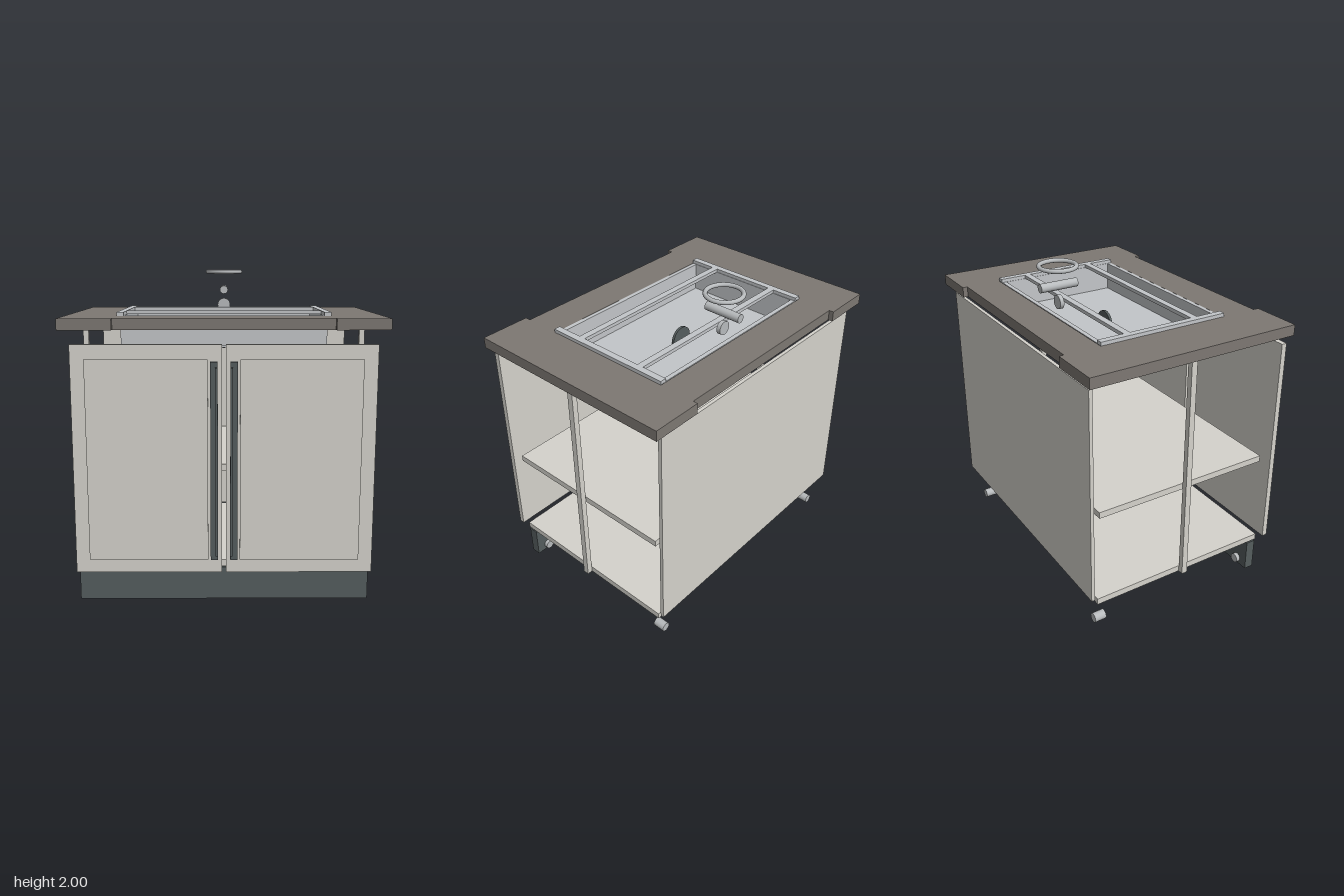
import * as THREE from 'three';

const mat = (color) => new THREE.MeshStandardMaterial({ color });

export function createModel() {
  const model = new THREE.Group();
  const wood = mat(0xd5d3cc), dark = mat(0x555d5e), stone = mat(0x7d7873);
  const steel = mat(0xc3c6c9), chrome = mat(0xb8bbbd);

  const add = (name, geometry, material, x, y, z) => {
    const mesh = new THREE.Mesh(geometry, material);
    mesh.name = name;
    mesh.position.set(x, y, z);
    model.add(mesh);
    return mesh;
  };
  // box given by its extents along each axis
  const box = (name, material, [x0, x1], [y0, y1], [z0, z1]) =>
    add(name, new THREE.BoxGeometry(x1 - x0, y1 - y0, z1 - z0), material,
      (x0 + x1) / 2, (y0 + y1) / 2, (z0 + z1) / 2);
  // cylinder lying along z
  const rod = (name, material, r, length, x, y, z, sides = 24) =>
    add(name, new THREE.CylinderGeometry(r, r, length, sides).rotateX(Math.PI / 2), material, x, y, z);
  // the same extents on the left (+1) or right (-1) side
  const side = (s, a, b) => (s > 0 ? [a, b] : [-b, -a]);

  // carcass
  box('bottomPanel', wood, [-0.885, 0.885], [0.215, 0.255], [-0.65, 0.555]);
  box('shelf', wood, [-0.88, 0.88], [0.813, 0.853], [-0.63, 0.533]);
  box('backPanel', wood, [-0.885, 0.885], [0.255, 1.623], [-0.69, -0.668]);
  box('toeKick', dark, [-0.886, 0.886], [0, 0.205], [0.488, 0.549]);

  // countertop, front and back strips set in from the side slabs
  const top = [1.664, 1.73];
  box('counterFront', stone, [-0.645, 0.645], top, [0.362, 0.592]);
  box('counterBack', stone, [-0.645, 0.645], top, [-0.697, -0.473]);

  // sink basin and rim
  box('basinFloor', steel, [-0.605, 0.605], [1.537, 1.552], [-0.45, 0.35]);
  box('basinFront', steel, [-0.605, 0.605], [1.552, 1.73], [0.335, 0.361]);
  box('basinBack', steel, [-0.605, 0.605], [1.552, 1.73], [-0.468, -0.44]);
  for (const z of [-0.283, 0.175])
    box('rimCrossBar', steel, [-0.605, 0.605], [1.73, 1.752], [z - 0.021, z + 0.021]);
  rod('drain', dark, 0.075, 0.016, 0, 1.571, -0.053);

  for (const s of [1, -1]) {
    box('post', wood, side(s, 0.885, 0.92), [0.215, 1.664], [-0.065, -0.028]);
    box('counterSide', stone, side(s, 0.645, 0.96), top, [-0.727, 0.628]);
    box('basinSide', steel, side(s, 0.602, 0.625), [1.552, 1.73], [-0.468, 0.361]);
    box('rimSide', steel, side(s, 0.605, 0.646), [1.73, 1.752], [-0.472, 0.366]);

    // door with raised panel
    box('door', wood, side(s, 0.011, 0.886), [0.215, 1.584], [0.618, 0.652]);
    box('doorPanel', wood, side(s, 0.094, 0.804), [0.297, 1.5], [0.652, 0.662]);

    // L-shaped handle
    box('handleBar', dark, side(s, 0.037, 0.079), [0.308, 1.49], [0.662, 0.698]);
    box('handleLip', dark, side(s, 0.036, 0.05), [0.34, 1.46], [0.698, 0.725]);

    // feet
    for (const z of [0.5, -0.595]) rod('foot', chrome, 0.03, 0.075, s * 0.8, 0.04, z, 20);
  }

  // faucet
  rod('faucetBase', chrome, 0.043, 0.026, 0, 1.765, -0.375);
  rod('faucetSpout', chrome, 0.027, 0.245, 0, 1.868, -0.377, 20);
  add('faucetRing', new THREE.TorusGeometry(0.111, 0.0135, 14, 48).rotateX(Math.PI / 2), chrome, 0, 1.987, -0.377);

  return model;
}
